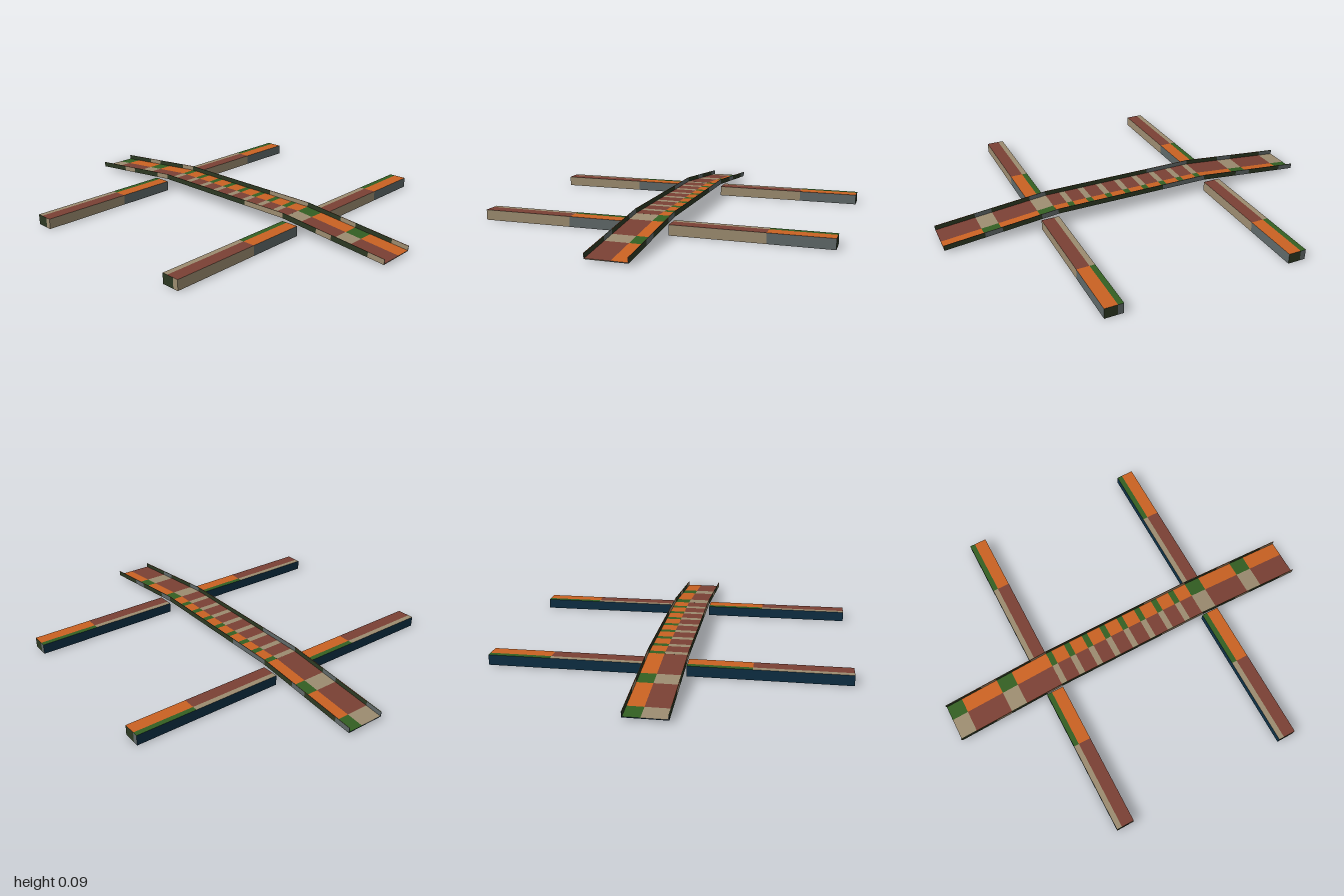
import * as THREE from 'three';
import { mergeGeometries } from 'three/addons/utils/BufferGeometryUtils.js';

const paint = (name, color) => {
  const m = new THREE.MeshStandardMaterial({ color });
  m.name = name;
  return m;
};

export function createModel() {
  const green = paint('green', 0x335f22), orange = paint('orange', 0xca6222);
  const brown = paint('brown', 0x7a4034), tan = paint('tan', 0x9c8c70);
  const dark = paint('darkGreen', 0x2c3822), grey = paint('slateGrey', 0x5f6868);
  const navy = paint('navy', 0x0e3046);

  // Flat panel of repeated two-by-two patches: [bottomLeft, bottomRight, topLeft, topRight]
  function panel(name, w, h, { n = 1, fu = 1, fv = 1, c }) {
    const cells = [], mats = [], step = w / n;
    for (let i = 0; i < n; i++) {
      for (let k = 0; k < 4; k++) {
        const a = k % 2, b = k >> 1;
        const cw = step * (a ? 1 - fu : fu), ch = h * (b ? 1 - fv : fv);
        if (cw < 1e-6 || ch < 1e-6) continue;
        const x = -w / 2 + i * step + (a ? step * fu : 0) + cw / 2;
        const y = -h / 2 + (b ? h * fv : 0) + ch / 2;
        cells.push(new THREE.PlaneGeometry(cw, ch).translate(x, y, 0));
        mats.push(c[k]);
      }
    }
    const mesh = new THREE.Mesh(mergeGeometries(cells, true), mats);
    mesh.name = name;
    return mesh;
  }

  // Six-sided patched board; nTop and nSide set the pattern repeats
  function board(name, w, h, d, nTop = 1, nSide = 1) {
    const g = new THREE.Group();
    g.name = name;
    const put = (face, pw, ph, pattern, pos, rx, ry) => {
      const m = panel(name + face, pw, ph, pattern);
      m.position.set(...pos);
      m.rotation.set(rx, ry, 0);
      g.add(m);
    };
    const q = Math.PI / 2;
    put('Top', w, d, { n: nTop, fu: 0.3, fv: 0.6, c: [tan, brown, green, orange] }, [0, h / 2, 0], -q, 0);
    put('Bottom', w, d, { n: nTop, fu: 0.3, fv: 0.4, c: [tan, tan, tan, dark] }, [0, -h / 2, 0], q, 0);
    put('Front', w, h, { n: nSide, fu: 0.7, c: [dark, tan] }, [0, 0, d / 2], 0, 0);
    put('Back', w, h, { n: nSide, fu: 0.7, c: [dark, grey] }, [0, 0, -d / 2], 0, Math.PI);
    put('Left', d, h, { fu: 0.6, c: [tan, grey] }, [w / 2, 0, 0], 0, q);
    put('Right', d, h, { c: [navy] }, [-w / 2, 0, 0], 0, -q);
    return g;
  }

  // Channel-shaped span: thin floor with a low rail on each edge
  function span(name, length, nFloor, nRail) {
    const g = new THREE.Group();
    g.name = name;
    g.add(board(name + 'Floor', length, 0.004, 0.196, nFloor, nRail));
    for (const s of [-1, 1]) {
      const rail = board(name + 'Rail', length, 0.027, 0.003, nFloor, nRail);
      rail.position.set(0, 0.0115, s * 0.0985);
      g.add(rail);
    }
    return g;
  }

  const model = new THREE.Group();
  model.name = 'footbridge';

  // Level middle span
  const middle = span('middleSpan', 0.84, 8, 1);
  middle.position.y = 0.069;
  model.add(middle);

  for (const s of [-1, 1]) {
    // Sloping ramp at each end
    const ramp = span(s > 0 ? 'leftRamp' : 'rightRamp', 0.583, 2, 2);
    ramp.position.set(s * 0.709, 0.0405, 0);
    ramp.rotation.z = -s * 0.098;
    model.add(ramp);

    // Ground beams reaching out to the front and back
    for (const z of [-1, 1]) {
      const beam = board(z > 0 ? 'frontBeam' : 'backBeam', 0.092, 0.052, 0.77);
      beam.position.set(s * 0.466, 0.026, z * 0.485);
      model.add(beam);
    }
  }
  return model;
}
